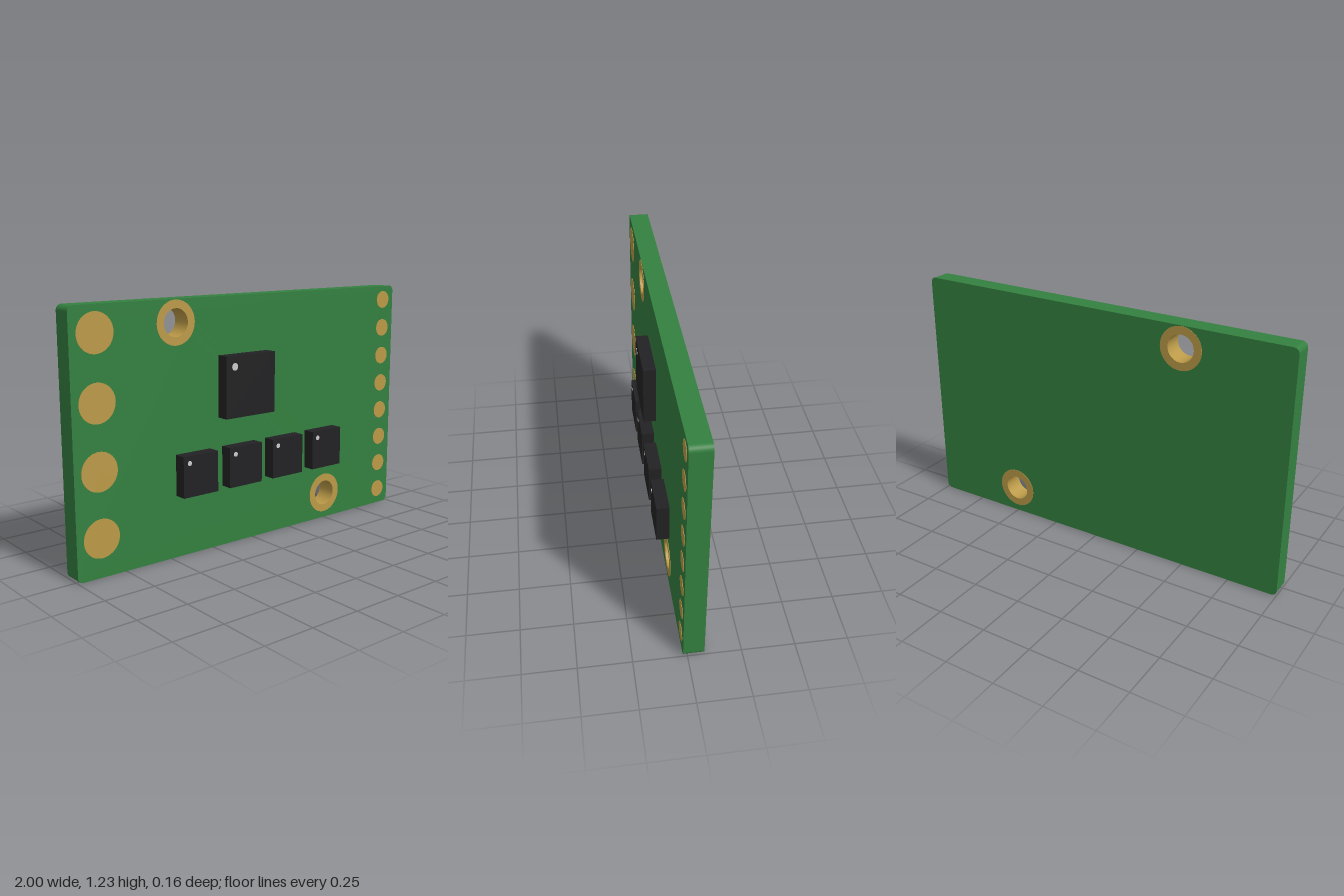
import * as THREE from 'three';

const BACK = -0.078, FRONT = 0.02, CHIP_TOP = 0.082, SKIN = 0.002;
const W = 2, H = 1.23, CORNER = 0.027;
const HOLES = [[-0.453, 1.122], [0.5, 0.138]];
const HOLE_R = 0.066, RING_R = 0.105;

const green = new THREE.MeshStandardMaterial({ color: 0x348040 });
const gold = new THREE.MeshStandardMaterial({ color: 0xbb9a48 });
const black = new THREE.MeshStandardMaterial({ color: 0x222224 });
const white = new THREE.MeshStandardMaterial({ color: 0xcccccc });

function add(parent, name, geometry, material, x = 0, y = 0, z = 0) {
  const mesh = new THREE.Mesh(geometry, material);
  mesh.name = name;
  mesh.position.set(x, y, z);
  parent.add(mesh);
  return mesh;
}

// Thin round disc facing +z, with its back at z
function disc(parent, name, r, material, x, y, z) {
  const geometry = new THREE.CylinderGeometry(r, r, SKIN, 40).rotateX(Math.PI / 2);
  return add(parent, name, geometry, material, x, y, z + SKIN / 2);
}

// Rounded board outline with the two mounting holes
function boardGeometry() {
  const s = new THREE.Shape();
  const x = W / 2, c = CORNER;
  s.moveTo(-x + c, 0);
  s.lineTo(x - c, 0);
  s.absarc(x - c, c, c, -Math.PI / 2, 0);
  s.lineTo(x, H - c);
  s.absarc(x - c, H - c, c, 0, Math.PI / 2);
  s.lineTo(-x + c, H);
  s.absarc(-x + c, H - c, c, Math.PI / 2, Math.PI);
  s.lineTo(-x, c);
  s.absarc(-x + c, c, c, Math.PI, Math.PI * 1.5);
  for (const [hx, hy] of HOLES) {
    s.holes.push(new THREE.Path().absarc(hx, hy, HOLE_R + 0.002, 0, Math.PI * 2, true));
  }
  return new THREE.ExtrudeGeometry(s, { depth: FRONT - BACK, bevelEnabled: false, curveSegments: 20 });
}

// Plated hole: flat rings on both faces joined by a barrel
function platedHoleGeometry() {
  const b = BACK - SKIN, f = FRONT + SKIN;
  const profile = [[HOLE_R, b], [RING_R, b], [RING_R, BACK], [HOLE_R + 0.001, BACK],
    [HOLE_R + 0.001, FRONT], [RING_R, FRONT], [RING_R, f], [HOLE_R, f], [HOLE_R, b]];
  // Separate segments keep the edges sharp
  return profile.slice(1).map((p, i) => new THREE.LatheGeometry(
    [profile[i], p].map(([r, y]) => new THREE.Vector2(r, y)), 40).rotateX(Math.PI / 2));
}

// Chip body with its pin-one dot in the upper left corner
function chip(parent, name, x, y, size, dotOffset, dotR) {
  const group = new THREE.Group();
  group.name = name;
  group.position.set(x, y, 0);
  const depth = CHIP_TOP - FRONT;
  add(group, 'chipBody', new THREE.BoxGeometry(size, size, depth), black, 0, 0, FRONT + depth / 2);
  disc(group, 'pinOneDot', dotR, white, -dotOffset, dotOffset, CHIP_TOP - SKIN / 2);
  parent.add(group);
}

export function createModel() {
  const model = new THREE.Group();
  model.name = 'circuitBoard';
  add(model, 'board', boardGeometry(), green, 0, 0, BACK);

  // Mounting holes
  for (const [x, y] of HOLES) {
    const hole = new THREE.Group();
    hole.name = 'platedHole';
    hole.position.set(x, y, 0);
    for (const g of platedHoleGeometry()) add(hole, 'plating', g, gold);
    model.add(hole);
  }

  // Solder pads along both short edges
  for (let i = 0; i < 4; i++) disc(model, 'largePad', 0.092, gold, -0.873, 0.185 + i * 0.3075, FRONT);
  for (let i = 0; i < 8; i++) disc(model, 'smallPad', 0.046, gold, 0.922, 0.083 + i * 0.1535, FRONT);

  // One controller and a row of four drivers
  chip(model, 'mainChip', -0.061, 0.8, 0.302, 0.098, 0.018);
  for (let i = 0; i < 4; i++) chip(model, 'smallChip', -0.365 + i * 0.273, 0.405, 0.2, 0.065, 0.012);

  return model;
}
